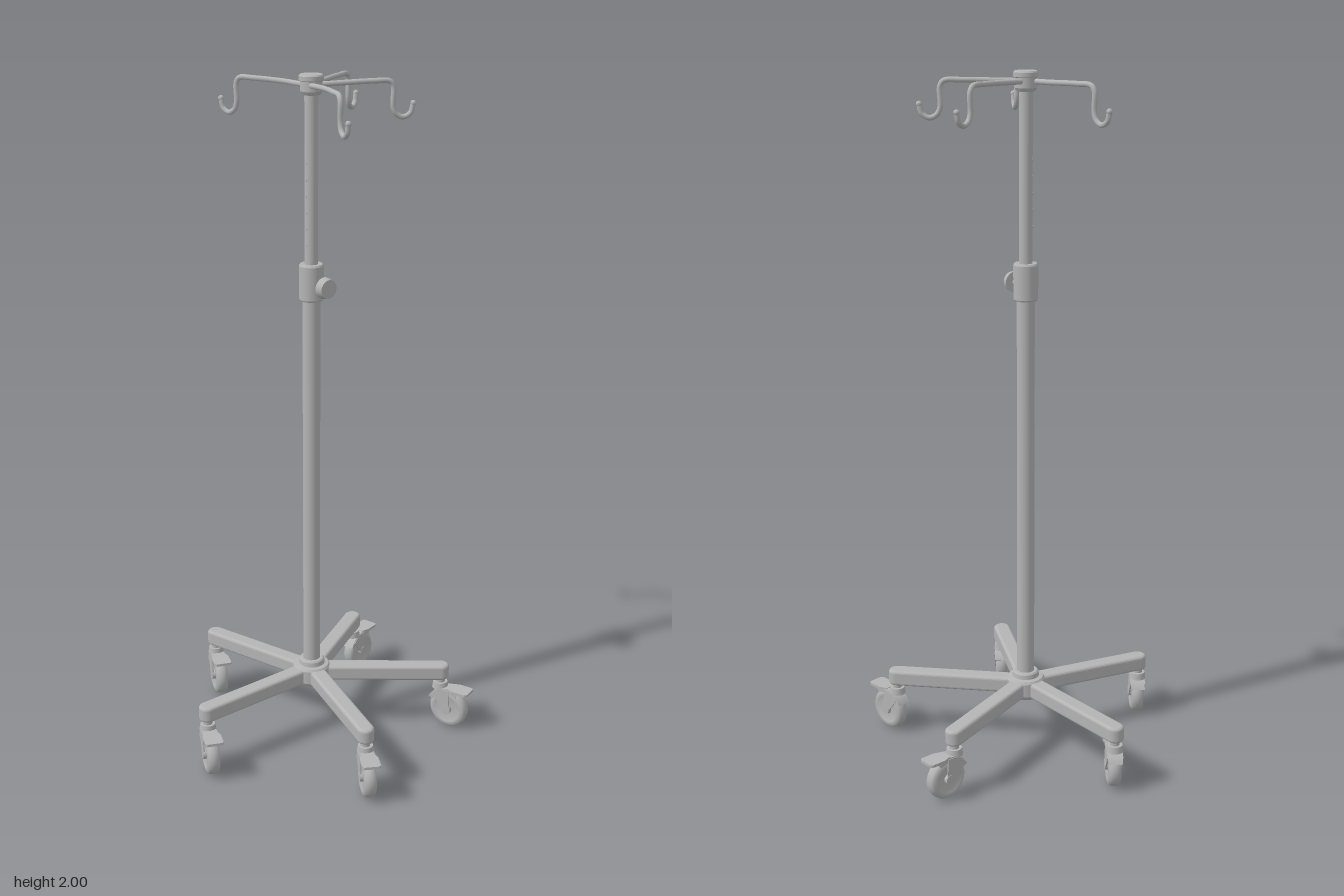
import * as THREE from 'three';

const metal = new THREE.MeshStandardMaterial({ color: 0xb4b4b4 });
const CX = -0.028, CZ = -0.025; // pole axis

function add(parent, name, geometry) {
  const mesh = new THREE.Mesh(geometry, metal);
  mesh.name = name;
  parent.add(mesh);
  return mesh;
}

// Turned part around the pole axis, from [radius, y] pairs
function turned(parent, name, profile) {
  const pts = profile.map(([r, y]) => new THREE.Vector2(r, y));
  const flat = new THREE.LatheGeometry(pts, 32).toNonIndexed();
  flat.computeVertexNormals();
  // smooth around the axis while keeping the profile's edges sharp
  const p = flat.attributes.position, n = flat.attributes.normal;
  for (let i = 0; i < p.count; i++) {
    const r = Math.hypot(p.getX(i), p.getZ(i)), h = Math.hypot(n.getX(i), n.getZ(i));
    if (r > 1e-5) n.setXYZ(i, p.getX(i) / r * h, n.getY(i), p.getZ(i) / r * h);
  }
  const mesh = add(parent, name, flat);
  mesh.position.set(CX, 0, CZ);
  return mesh;
}

// Bevelled bar with a round outer end, lifted slightly towards the hub
function addLeg(parent, x, z) {
  const dx = x - CX, dz = z - CZ, len = Math.hypot(dx, dz), w = 0.016, b = 0.009;
  const plan = new THREE.Shape();
  plan.moveTo(-w, 0);
  plan.lineTo(-w, -len);
  plan.absarc(0, -len, w, Math.PI, Math.PI * 2, false);
  plan.lineTo(w, 0);
  plan.closePath();
  const g = new THREE.ExtrudeGeometry(plan, {
    depth: 0.03, bevelThickness: b, bevelSize: b, bevelSegments: 4, curveSegments: 16,
  });
  g.rotateX(-Math.PI / 2);
  const p = g.attributes.position;
  for (let i = 0; i < p.count; i++) {
    p.setY(i, p.getY(i) + 0.166 + 0.008 * (1 - p.getZ(i) / len));
  }
  g.computeVertexNormals();
  const leg = add(parent, 'leg', g);
  leg.position.set(CX, 0, CZ);
  leg.rotation.y = Math.atan2(dx, dz);
}

// Swivel caster with its rolling direction along local +z
function addCaster(parent, x, z, dirX, dirZ) {
  const caster = new THREE.Group();
  caster.name = 'caster';
  caster.position.set(x, 0, z);
  caster.rotation.y = Math.atan2(dirX, dirZ);
  parent.add(caster);

  add(caster, 'casterStem', new THREE.CylinderGeometry(0.014, 0.014, 0.05, 20)).position.y = 0.15;
  add(caster, 'swivelCollar', new THREE.CylinderGeometry(0.022, 0.025, 0.02, 24)).position.y = 0.135;

  // rounded tyre with dished sides
  const profile = [[0, -0.013], [0.034, -0.013], [0.041, -0.019], [0.053, -0.018], [0.06, -0.011],
    [0.062, 0], [0.06, 0.011], [0.053, 0.018], [0.041, 0.019], [0.034, 0.013], [0, 0.013]];
  const wheel = add(caster, 'wheel',
    new THREE.LatheGeometry(profile.map(([r, y]) => new THREE.Vector2(r, y)), 32));
  wheel.rotation.z = Math.PI / 2;
  wheel.position.set(0, 0.063, 0.033);
  const axle = add(caster, 'axleCap', new THREE.CylinderGeometry(0.015, 0.015, 0.048, 20));
  axle.rotation.z = Math.PI / 2;
  axle.position.copy(wheel.position);

  // curved hood over the tyre
  const hood = new THREE.Shape();
  hood.absarc(0, 0, 0.069, Math.PI * 0.32, Math.PI * 0.85, false);
  hood.absarc(0, 0, 0.055, Math.PI * 0.85, Math.PI * 0.32, true);
  hood.closePath();
  const hg = new THREE.ExtrudeGeometry(hood, { depth: 0.042, bevelEnabled: false, curveSegments: 16 });
  hg.rotateY(-Math.PI / 2).translate(0.021, 0, 0);
  add(caster, 'hood', hg).position.copy(wheel.position);

  // fork cheeks from the hood to the axle
  for (const side of [-1, 1]) {
    const cheek = new THREE.Shape([[-0.05, 0.045], [-0.008, -0.008], [0.01, 0.004], [0.006, 0.066], [-0.025, 0.064]]
      .map(([a, b]) => new THREE.Vector2(a, b)));
    const cg = new THREE.ExtrudeGeometry(cheek, { depth: 0.004, bevelEnabled: false });
    cg.rotateY(-Math.PI / 2).translate(0.002 + side * 0.021, 0, 0);
    add(caster, 'forkCheek', cg).position.copy(wheel.position);
  }

  // brake pedal plate with clipped corners
  const plate = new THREE.Shape([[-0.018, 0.03], [-0.027, 0.055], [-0.027, 0.097], [-0.022, 0.103],
    [0.022, 0.103], [0.027, 0.097], [0.027, 0.055], [0.018, 0.03]]
    .map(([a, b]) => new THREE.Vector2(a, -b)));
  const pg = new THREE.ExtrudeGeometry(plate, { depth: 0.008, bevelEnabled: false });
  pg.rotateX(-Math.PI / 2);
  add(caster, 'brakePedal', pg).position.y = 0.126;
}

// Bent rod: out along the plan points, down and round into a hook
function addHook(parent, start, mid, drop, tip) {
  const at = ([x, z], y) => new THREE.Vector3(x, y, z);
  const mix = (a, b, t) => [a[0] + (b[0] - a[0]) * t, a[1] + (b[1] - a[1]) * t];
  const path = new THREE.CatmullRomCurve3([
    at(start, 1.972), at(mid, 1.974), at(mix(mid, drop, 0.6), 1.976), at(mix(mid, drop, 0.93), 1.974),
    at(drop, 1.96), at(drop, 1.905), at(mix(drop, tip, 0.15), 1.885), at(mix(drop, tip, 0.5), 1.875),
    at(mix(drop, tip, 0.87), 1.886), at(tip, 1.912),
  ], false, 'centripetal');
  add(parent, 'hook', new THREE.TubeGeometry(path, 72, 0.0075, 10));
  add(parent, 'hookTip', new THREE.SphereGeometry(0.0085, 12, 8)).position.copy(at(tip, 1.912));
}

export function createModel() {
  const model = new THREE.Group();
  model.name = 'rollingStand';

  // Pole, clamp and caps
  turned(model, 'hub', [[0, 0.158], [0.05, 0.158], [0.057, 0.17], [0.057, 0.21], [0.052, 0.217],
    [0.04, 0.219], [0.038, 0.232], [0.034, 0.236], [0, 0.236]]);
  turned(model, 'lowerPole', [[0.0255, 0.2], [0.0255, 1.39]]);
  turned(model, 'clampCollar', [[0, 1.37], [0.033, 1.37], [0.035, 1.374], [0.035, 1.47], [0.032, 1.475], [0, 1.475]]);
  turned(model, 'upperPole', [[0.019, 1.45], [0.019, 1.96]]);
  turned(model, 'topCap', [[0, 1.945], [0.025, 1.945], [0.031, 1.955], [0.031, 1.982], [0.034, 1.984],
    [0.034, 1.996], [0.031, 2.0], [0, 2.0]]);

  // Height adjustment knob
  const stem = add(model, 'knobStem', new THREE.CylinderGeometry(0.01, 0.01, 0.04, 16));
  stem.rotation.z = Math.PI / 2;
  stem.position.set(0.005, 1.413, CZ - 0.008);
  const knob = add(model, 'knob', new THREE.CylinderGeometry(0.027, 0.031, 0.022, 24));
  knob.rotation.z = -Math.PI / 2;
  knob.position.set(0.03, 1.413, CZ - 0.008);

  // Height markers down the upper pole
  for (let i = 0; i < 6; i++) {
    const mark = add(model, 'heightMarker', new THREE.CylinderGeometry(0.005, 0.005, 0.004, 12));
    mark.rotation.x = Math.PI / 2;
    mark.position.set(CX, 1.53 + i * 0.046, CZ + 0.018);
  }

  // Hooks, mirrored about the pole
  for (const s of [1, -1]) {
    const m = (x, z) => [CX + s * x, z];
    addHook(model, m(0.02, -0.008), m(0.09, 0.004), m(0.228, 0.06), m(0.28, 0.076));
    addHook(model, m(0.01, -0.03), m(0.038, -0.1), m(0.097, -0.235), m(0.123, -0.286));
  }

  // Legs and casters: leg end x, z, then caster direction x, z
  const feet = [
    [-0.03, 0.365, 0.92, 0.4],
    [0.353, 0.08, 0.87, 0.49],
    [0.21, -0.345, 0.87, -0.3],
    [-0.22, -0.348, -0.25, -0.95],
    [-0.408, 0.068, 0.93, 0.38],
  ];
  for (const [x, z, dx, dz] of feet) {
    addLeg(model, x, z);
    addCaster(model, x, z, dx, dz);
  }
  return model;
}
